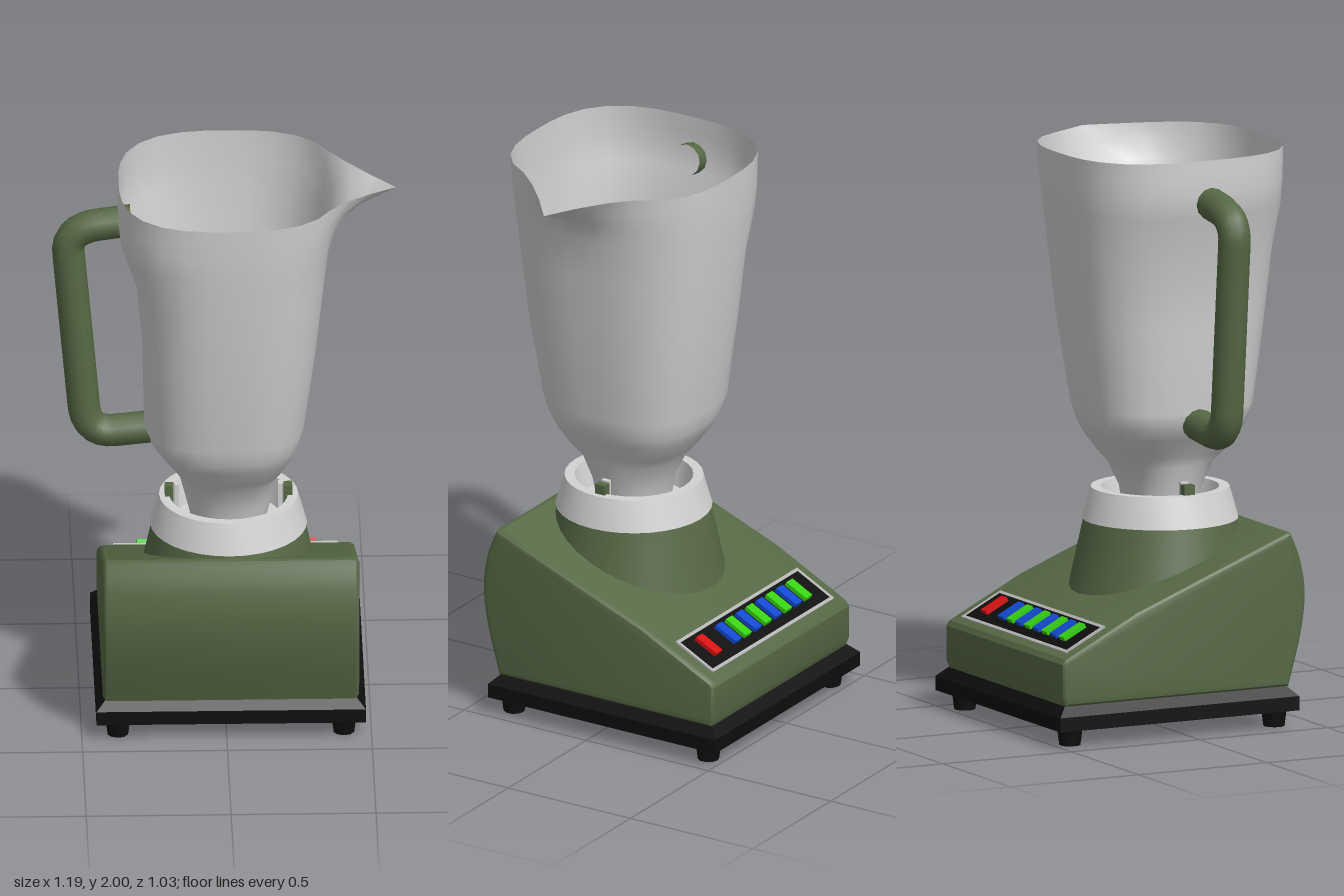
import * as THREE from 'three';
import { toCreasedNormals } from 'three/addons/utils/BufferGeometryUtils.js';

const CX = 0.013, CZ = 0.115; // axis of collar and jar

function mat(name, color, side = THREE.FrontSide) {
  const m = new THREE.MeshStandardMaterial({ color, side });
  m.name = name;
  return m;
}

export function createModel() {
  const model = new THREE.Group();
  model.name = 'blender';
  const green = mat('olive green', 0x566845);
  const black = mat('black', 0x0e0e0e);
  const white = mat('white plastic', 0xd2d2d2);
  const glass = mat('jar grey', 0xcfcfcf, THREE.DoubleSide);
  const steel = mat('steel', 0xb4b4b4, THREE.DoubleSide);
  const lime = mat('button green', 0x35d010);
  const blue = mat('button blue', 0x1048d0);
  const red = mat('button red', 0xd81010);

  const add = (name, geo, material, x = 0, y = 0, z = 0, parent = model) => {
    const mesh = new THREE.Mesh(geo, material);
    mesh.name = name;
    mesh.position.set(x, y, z);
    parent.add(mesh);
    return mesh;
  };

  // Base plate with sloped top edge, and four feet
  add('basePlate', new THREE.BoxGeometry(0.93, 0.05, 0.93), black, 0.015, 0.085, -0.05);
  const slope = new THREE.CylinderGeometry(0.43 * Math.SQRT2, 0.465 * Math.SQRT2, 0.035, 4).toNonIndexed();
  slope.rotateY(Math.PI / 4);
  slope.computeVertexNormals();
  add('basePlateTop', slope, black, 0.015, 0.1275, -0.05);
  for (const x of [-0.375, 0.405])
    for (const z of [0.355, -0.44])
      add('foot', toCreasedNormals(new THREE.CylinderGeometry(0.045, 0.037, 0.062, 10), 0.8), black, x, 0.031, z);

  // Housing: side profile extruded across the width
  const profile = new THREE.Shape();
  profile.moveTo(0.48, 0.14);
  profile.lineTo(0.492, 0.17);
  profile.lineTo(0.492, 0.29);
  profile.lineTo(0.48, 0.308);
  profile.lineTo(0.2, 0.45);
  profile.lineTo(-0.385, 0.68);
  profile.lineTo(-0.4, 0.678);
  profile.splineThru([[-0.438, 0.58], [-0.455, 0.46], [-0.438, 0.32], [-0.39, 0.14]]
    .map(([a, b]) => new THREE.Vector2(a, b)));
  const housing = new THREE.ExtrudeGeometry(profile, {
    depth: 0.845, curveSegments: 10, bevelEnabled: true,
    bevelThickness: 0.02, bevelSize: 0.02, bevelOffset: -0.02, bevelSegments: 3,
  });
  housing.translate(0, 0, -0.4225);
  housing.rotateY(Math.PI / 2);
  add('housing', toCreasedNormals(housing, 0.5), green, 0.015, 0, 0);

  // Neck and open collar
  add('neck', toCreasedNormals(new THREE.CylinderGeometry(0.265, 0.325, 0.27, 32), 0.6), green, CX, 0.555, CZ);
  const collar = new THREE.LatheGeometry(
    [[0.271, 0.69], [0.24, 0.8], [0.205, 0.8], [0.185, 0.705], [0, 0.705]]
      .map(([r, y]) => new THREE.Vector2(r, y)), 32);
  add('collar', toCreasedNormals(collar, 0.5), white, CX, 0, CZ);
  for (const s of [-1, 1]) {
    add('lockingTab', new THREE.BoxGeometry(0.03, 0.1, 0.04), green, CX + s * 0.205, 0.785, CZ);
    add('jarLug', new THREE.BoxGeometry(0.015, 0.1, 0.03), white, CX + s * 0.178, 0.79, CZ);
  }

  // Control panel on the rear slope
  const panel = new THREE.Group();
  panel.name = 'controlPanel';
  panel.position.set(0.0125, 0.36, -0.378);
  panel.rotation.x = -Math.atan(0.15 / 0.29);
  model.add(panel);
  const plate = (w, d) => new THREE.BoxGeometry(w, 0.008, d);
  add('panelFace', plate(0.755, 0.15), black, 0, 0, 0, panel);
  for (const s of [-1, 1]) {
    add('panelTrimLong', plate(0.775, 0.012), steel, 0, 0.002, s * 0.08, panel);
    add('panelTrimShort', plate(0.012, 0.16), steel, s * 0.382, 0.002, 0, panel);
  }
  const button = (x, m) =>
    add('button', new THREE.BoxGeometry(0.04, 0.022, 0.092), m, x - 0.0125, 0.008, 0.008, panel);
  for (let i = 0; i < 8; i++) button(-0.272 + i * 0.0645, i % 2 ? blue : lime);
  button(0.305, red);

  // Jar: rings of [height, left reach, right reach, half depth, spout reach]
  const rings = [
    [0.72, 0.13, 0.13, 0.125, 0], [0.8, 0.15, 0.15, 0.135, 0],
    [0.89, 0.172, 0.172, 0.18, 0], [0.93, 0.19, 0.19, 0.21, 0],
    [1.0, 0.24, 0.23, 0.26, 0], [1.04, 0.27, 0.245, 0.28, 0],
    [1.1, 0.292, 0.262, 0.297, 0], [1.4, 0.298, 0.303, 0.345, 0],
    [1.65, 0.322, 0.33, 0.372, 0], [1.8, 0.375, 0.348, 0.387, 0],
    [1.88, 0.383, 0.365, 0.392, 0.025], [1.94, 0.382, 0.372, 0.395, 0.1],
    [2.0, 0.38, 0.378, 0.397, 0.2],
  ];
  const N = 32, pos = [], idx = [];
  rings.forEach(([y, left, right, depth, spout], j) => {
    const n = j < 3 ? 2.2 : 2.8; // squarish section
    for (let i = 0; i < N; i++) {
      const a = (i / N) * Math.PI * 2, c = Math.cos(a), s = Math.sin(a);
      const r = (Math.abs(c / (c < 0 ? left : right)) ** n + Math.abs(s / depth) ** n) ** (-1 / n);
      const w = c > 0 ? Math.max(0, 1 - Math.abs(r * s) / 0.24) ** 1.5 : 0;
      pos.push(r * c + spout * w, y - 0.15 * spout * w, r * s);
      if (j) {
        const k = (i + 1) % N, p = (j - 1) * N, q = j * N;
        idx.push(p + i, q + i, p + k, q + i, q + k, p + k);
      }
    }
  });
  const jar = new THREE.BufferGeometry();
  jar.setAttribute('position', new THREE.Float32BufferAttribute(pos, 3));
  jar.setIndex(idx);
  jar.computeVertexNormals();
  add('jar', jar, glass, CX, 0, CZ);
  const floor = new THREE.CircleGeometry(0.172, N);
  floor.rotateX(-Math.PI / 2);
  add('jarFloor', floor, glass, CX, 0.89, CZ);

  // Handle: straight runs joined by rounded corners
  const v = (x, y) => new THREE.Vector3(x, y, CZ);
  const path = new THREE.CurvePath();
  const line = (a, b) => path.add(new THREE.LineCurve3(a, b));
  const bend = (a, b, c) => path.add(new THREE.QuadraticBezierCurve3(a, b, c));
  line(v(-0.32, 1.855), v(-0.43, 1.84));
  bend(v(-0.43, 1.84), v(-0.545, 1.825), v(-0.54, 1.74));
  line(v(-0.54, 1.74), v(-0.486, 1.14));
  bend(v(-0.486, 1.14), v(-0.475, 1.045), v(-0.39, 1.047));
  line(v(-0.39, 1.047), v(-0.26, 1.06));
  add('handle', new THREE.TubeGeometry(path, 48, 0.056, 12), green);

  // Blades around a central nut
  const blades = new THREE.Group();
  blades.name = 'blades';
  blades.position.set(CX, 0.95, CZ);
  model.add(blades);
  add('bladeNut', new THREE.BoxGeometry(0.055, 0.05, 0.055), steel, 0, 0, 0, blades);
  add('bladeShaft', new THREE.CylinderGeometry(0.02, 0.02, 0.08, 10), steel, 0, -0.04, 0, blades);
  for (const [x, y, z] of [[-0.135, 0.03, -0.025], [0.135, 0.03, 0.02], [0.02, 0.04, -0.135]]) {
    const l = Math.hypot(x, z), sx = (-z / l) * 0.027, sz = (x / l) * 0.027;
    const blade = new THREE.BufferGeometry();
    blade.setAttribute('position', new THREE.Float32BufferAttribute([sx, 0, sz, x, y, z, -sx, 0, -sz], 3));
    blade.computeVertexNormals();
    add('blade', blade, steel, 0, 0.01, 0, blades);
  }
  return model;
}
